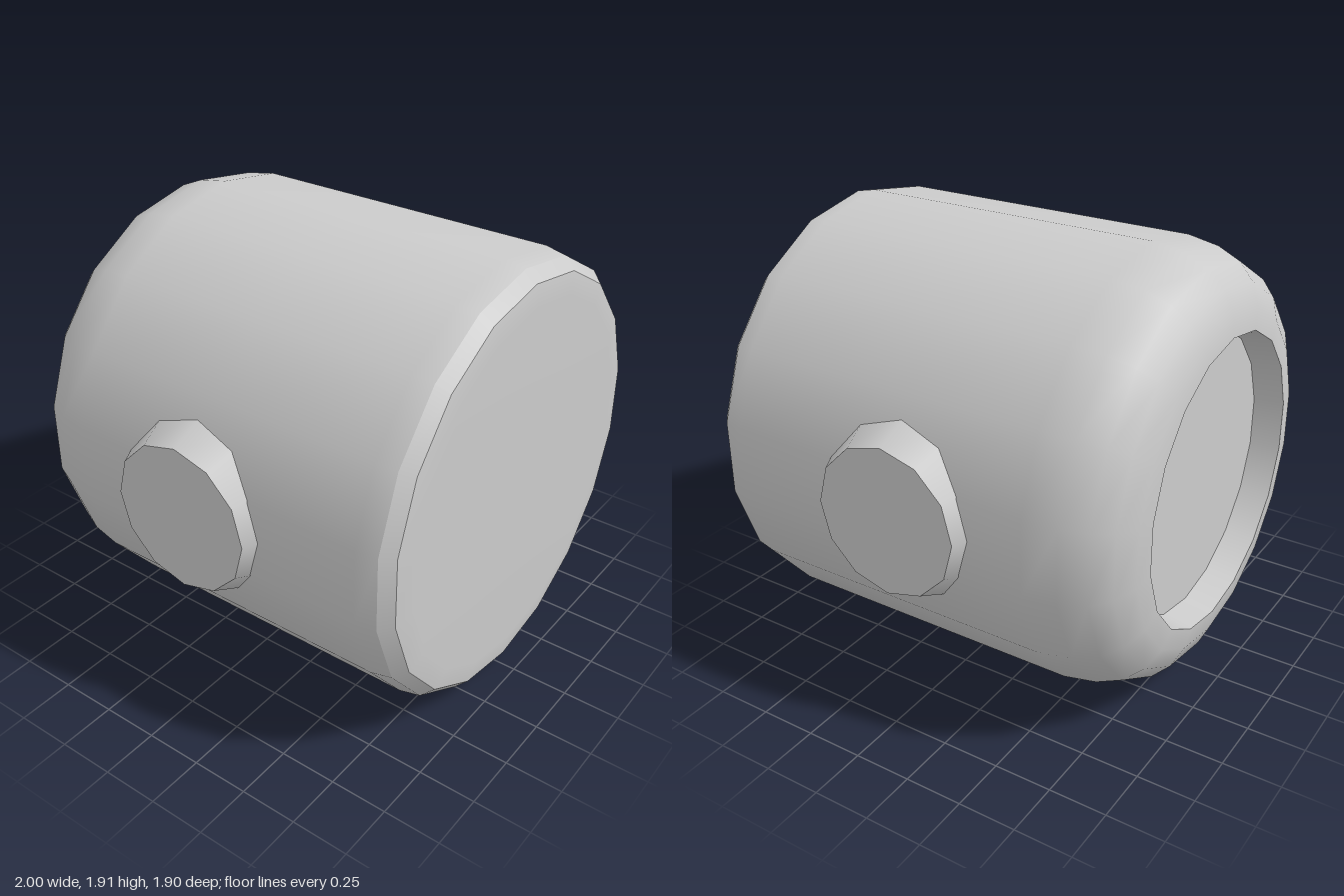
import * as THREE from 'three';

const SIDES = 18;
const CENTER_Y = 0.955;

export function createModel() {
  const group = new THREE.Group();
  const material = new THREE.MeshStandardMaterial({ color: 0xcccccc });

  // Turned section about the z axis; profile pairs are [radius, z], back to front
  const turned = (name, profile) => {
    const geometry = new THREE.LatheGeometry(profile.map(([r, z]) => new THREE.Vector2(r, z)), SIDES);
    geometry.rotateX(Math.PI / 2);
    const mesh = new THREE.Mesh(geometry, material);
    mesh.name = name;
    mesh.position.y = CENTER_Y;
    group.add(mesh);
  };

  // Recessed back: flat floor and short flared wall
  turned('recessFloor', [[0, -0.82], [0.61, -0.82]]);
  turned('recessWall', [[0.61, -0.82], [0.63, -0.95]]);

  // Barrel with a broad rounded back shoulder and a small front bevel
  turned('barrel', [
    [0.63, -0.95], [0.72, -0.94], [0.815, -0.895], [0.885, -0.825], [0.93, -0.72],
    [0.955, -0.58], [0.955, 0.1], [0.955, 0.8], [0.937, 0.89],
  ]);
  turned('frontBevel', [[0.937, 0.89], [0.888, 0.94]]);
  turned('frontFace', [[0.888, 0.94], [0.79, 0.953], [0, 0.953]]);

  // Tapered twelve-sided pivot stubs on both sides
  for (const side of [1, -1]) {
    const geometry = new THREE.CylinderGeometry(0.32, 0.41, 0.2, 12);
    geometry.rotateZ(-side * Math.PI / 2);
    const stub = new THREE.Mesh(geometry, material);
    stub.name = side > 0 ? 'leftPivot' : 'rightPivot';
    stub.position.set(side * 0.9, CENTER_Y, 0.005);
    group.add(stub);
  }

  return group;
}
